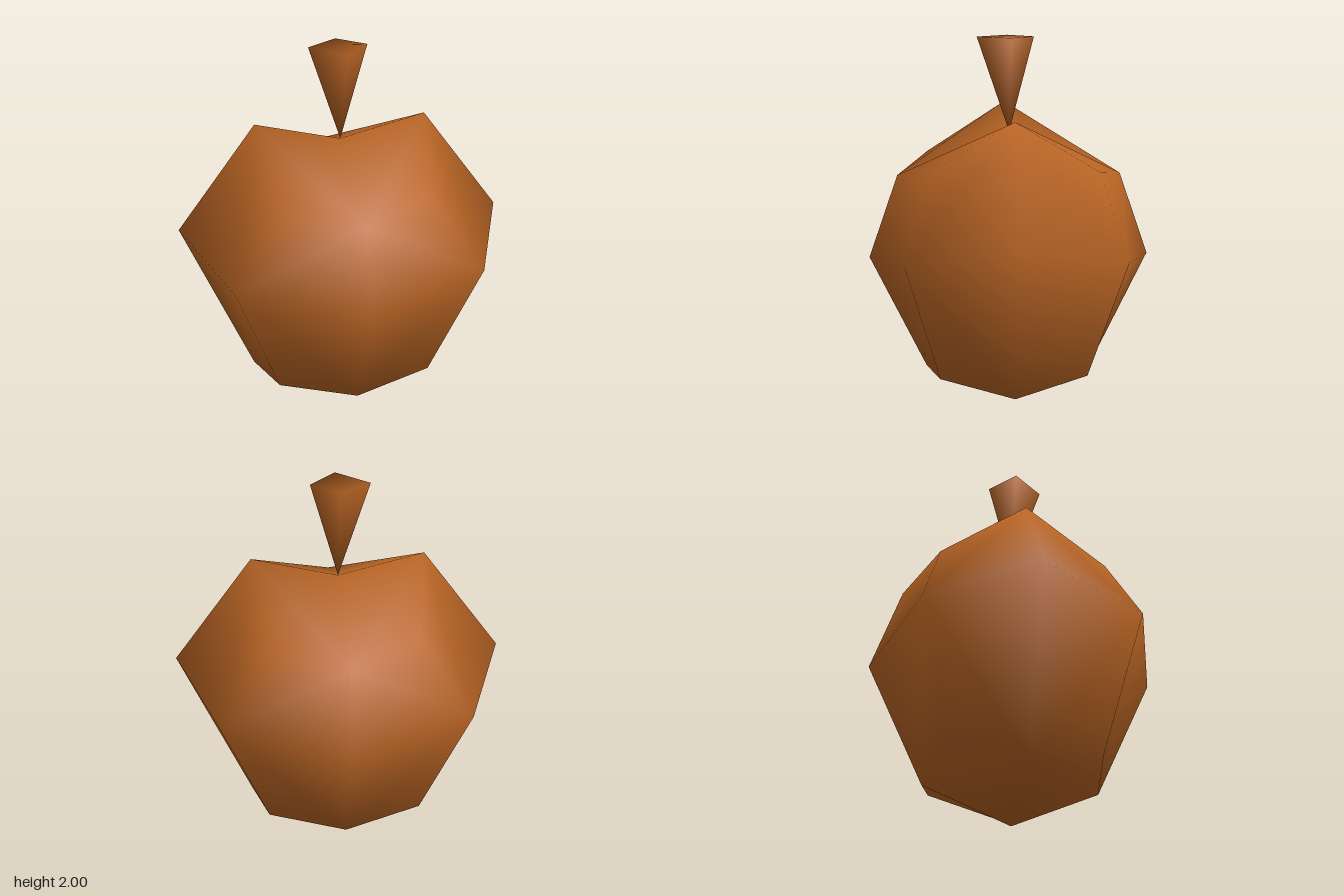
import * as THREE from 'three';
import { mergeVertices } from 'three/addons/utils/BufferGeometryUtils.js';

// Smooth-shaded surface from a list of triangles, welding shared corners
function smoothSurface(triangles) {
  const geometry = new THREE.BufferGeometry();
  geometry.setAttribute('position', new THREE.Float32BufferAttribute(triangles.flat(2), 3));
  const welded = mergeVertices(geometry, 1e-4);
  welded.computeVertexNormals();
  return welded;
}

// One eighth of the fruit: three pole points, three edge points and a corner
function fruitOctant(sx, top, sz) {
  const X = [0.87 * sx, 1.05, 0];
  const Y = [0, top ? 1.5 : 0, 0];
  const Z = [0, 0.82, 0.76 * sz];
  const XY = top ? [0.45 * sx, 1.61, 0] : [0.5 * sx, 0.18, 0];
  const YZ = top ? [0, 1.27, 0.6 * sz] : [0, 0.19, 0.46 * sz];
  const ZX = [0.64 * sx, 0.935, 0.55 * sz];
  const C = top ? [0.375 * sx, 1.34, 0.44 * sz] : [0.41 * sx, 0.265, 0.385 * sz];
  const triangles = [
    [X, XY, ZX], [Y, YZ, XY], [Z, ZX, YZ],
    [C, XY, YZ], [C, YZ, ZX], [C, ZX, XY],
  ];
  const mirrored = sx * sz * (top ? 1 : -1) < 0;
  return mirrored ? triangles.map(([a, b, c]) => [a, c, b]) : triangles;
}

export function createModel() {
  const model = new THREE.Group();
  model.name = 'apple';

  const skin = new THREE.MeshStandardMaterial({ color: 0xb86424 });
  skin.name = 'russet brown';

  // Faceted fruit with a dip at the top
  const fruitTriangles = [];
  for (const sx of [1, -1])
    for (const top of [true, false])
      for (const sz of [1, -1]) fruitTriangles.push(...fruitOctant(sx, top, sz));
  const fruit = new THREE.Mesh(smoothSurface(fruitTriangles), skin);
  fruit.name = 'fruit';
  model.add(fruit);

  // Stem: four-sided wedge standing on its tip
  const tip = [0, 1.5, 0];
  const rim = [[0.14, 2, 0], [0, 2, 0.17], [-0.165, 2, 0], [0, 2, -0.13]];
  const stemTriangles = rim.map((p, i) => [tip, p, rim[(i + 1) % 4]]);
  stemTriangles.push([rim[0], rim[2], rim[1]], [rim[0], rim[3], rim[2]]);
  const stem = new THREE.Mesh(smoothSurface(stemTriangles), skin);
  stem.name = 'stem';
  model.add(stem);

  return model;
}
